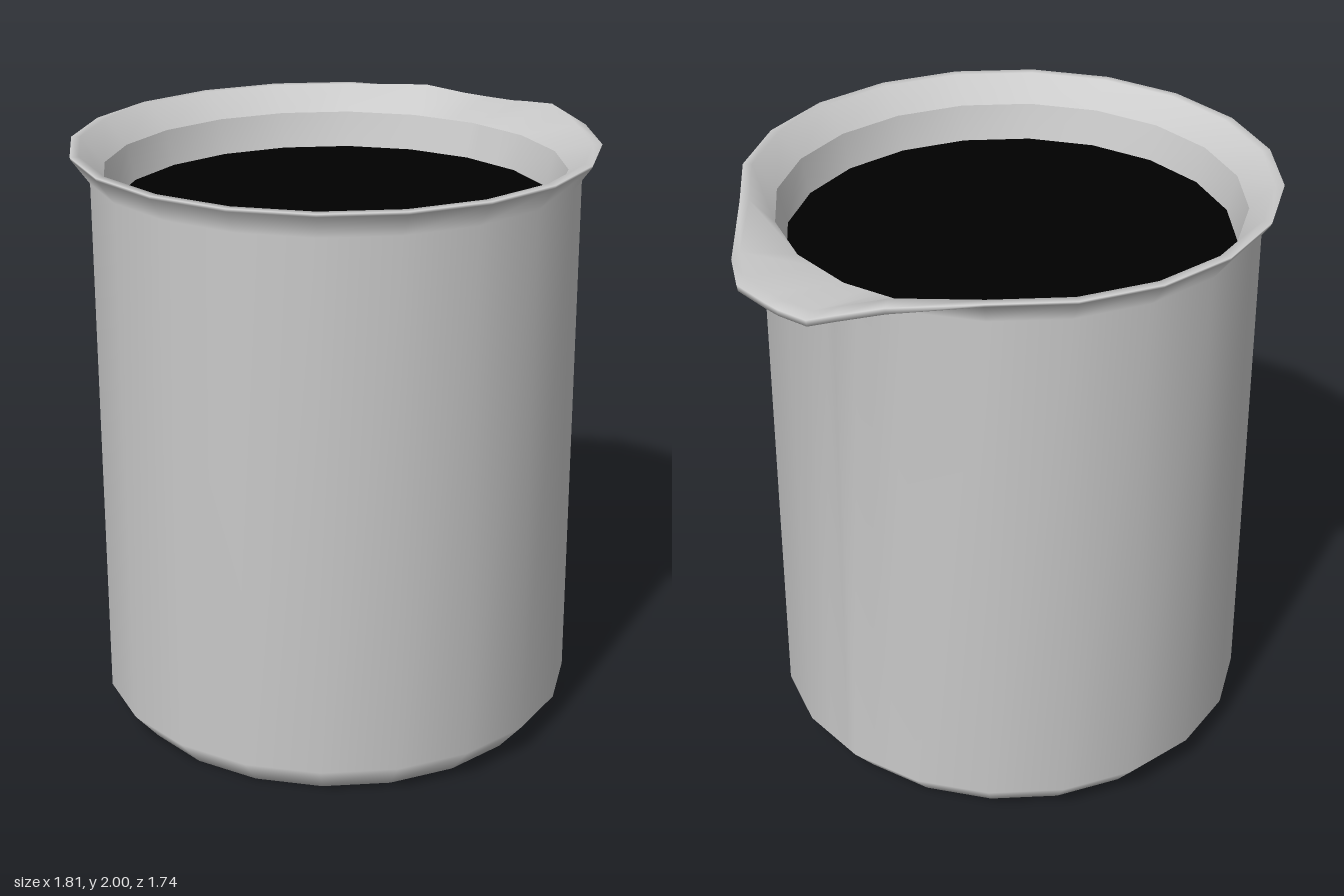
import * as THREE from 'three';

const SIDES = 20, STEP = 360 / SIDES, CENTRE_X = -0.035;
const rad = THREE.MathUtils.degToRad;

// Pouring lip: angle in degrees -> [radius, height] of the rim there
const spout = {
  18: [0.985, 1.955], 26: [1.046, 1.95], 33: [1.04, 1.94], 36: [1.038, 1.935],
  42: [1.034, 1.935], 46: [0.986, 1.95], 54: [0.929, 1.98],
};
const angles = [...new Set([
  ...Array.from({ length: SIDES }, (_, i) => i * STEP),
  ...Object.keys(spout).map(Number),
])].sort((a, b) => a - b);

// Radius of a regular polygon at any angle, so extra columns keep its facets
const facet = (r, a) => r * Math.cos(rad(STEP / 2)) / Math.cos(rad((a % STEP) - STEP / 2));
const plain = (r, y) => (a) => [facet(r, a), y];
// Rim ring, shifted inwards and up or down, by separate amounts on the spout
const rim = (inset, lift, spoutLift) => (a) => {
  const [r, y] = spout[a] || [facet(0.872, a), 2];
  return [r - inset, y + (spout[a] ? spoutLift : lift)];
};

// Skin a stack of rings, each a rule angle -> [radius, height]
function skin(...rings) {
  const pos = [], index = [], n = angles.length;
  for (const ring of rings) for (const a of angles) {
    const [r, y] = ring(a);
    pos.push(r * Math.cos(rad(a)), y, -r * Math.sin(rad(a)));
  }
  for (let i = 0; i < rings.length - 1; i++) for (let j = 0; j < n; j++) {
    const k = (j + 1) % n;
    const a = i * n + j, b = i * n + k, c = b + n, d = a + n;
    if (rings[i](0)[0] > 0) index.push(a, b, c);
    if (rings[i + 1](0)[0] > 0) index.push(a, c, d);
  }
  const g = new THREE.BufferGeometry();
  g.setAttribute('position', new THREE.Float32BufferAttribute(pos, 3));
  g.setIndex(index);
  g.computeVertexNormals();
  return g;
}

export function createModel() {
  const group = new THREE.Group();
  group.name = 'beaker';
  const add = (name, geometry, color = 0xcccccc) => {
    const mesh = new THREE.Mesh(geometry, new THREE.MeshStandardMaterial({ color, side: THREE.DoubleSide }));
    mesh.name = name;
    mesh.position.x = CENTRE_X;
    group.add(mesh);
  };

  // Base, bevel, wall, flare, rounded rim and spout channel
  add('vessel', skin(
    plain(0, 0),
    plain(0.725, 0),
    plain(0.81, 0.1),
    plain(0.81, 1.91),
    rim(0.004, -0.01, -0.022),
    rim(0, 0, 0),
    rim(0.03, 0, 0.018),
    plain(0.765, 1.915),
  ));

  // Neck band below the flare
  add('neck', skin(plain(0.765, 1.915), plain(0.735, 1.795)));

  // Dark inside: wall, bevel and floor
  add('interior', skin(
    plain(0.735, 1.795),
    plain(0.735, 0.15),
    plain(0.66, 0.07),
    plain(0, 0.07),
  ), 0x000000);

  return group;
}
